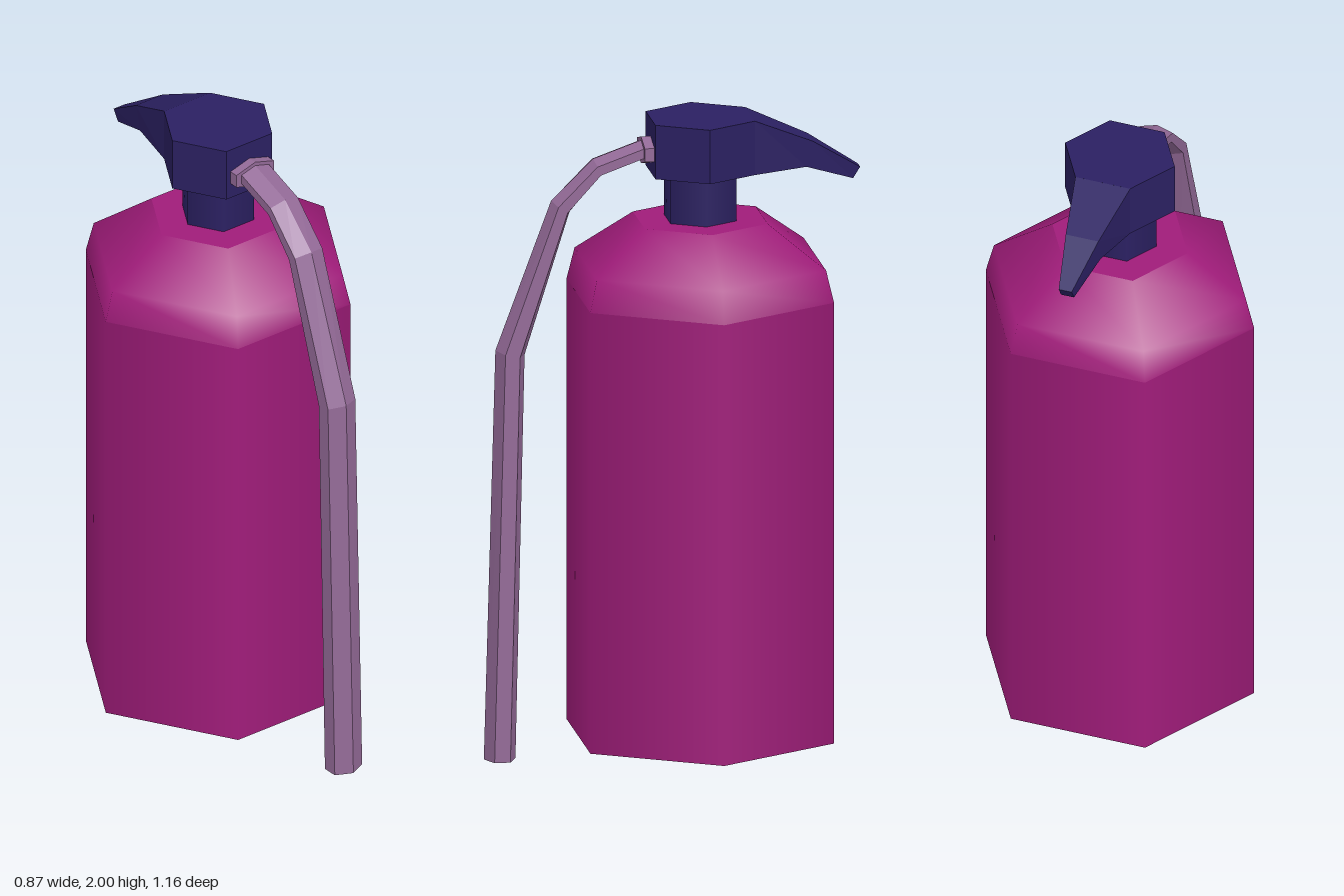
import * as THREE from 'three';

const AXIS_Z = -0.09; // the bottle's upright axis

const red = new THREE.MeshStandardMaterial({ color: 0xa01c7a });
const navy = new THREE.MeshStandardMaterial({ color: 0x2b2062 });
const navyFlat = new THREE.MeshStandardMaterial({ color: 0x2b2062, flatShading: true });
const mauve = new THREE.MeshStandardMaterial({ color: 0x936a97, flatShading: true });

function add(group, name, geometry, material) {
  const mesh = new THREE.Mesh(geometry, material);
  mesh.name = name;
  group.add(mesh);
  return mesh;
}

// Hexagonal prism with corners on the x axis
function hexPrism(radius, bottom, top) {
  return new THREE.CylinderGeometry(radius, radius, top - bottom, 6, 1, false, Math.PI / 2)
    .translate(0, (bottom + top) / 2, AXIS_Z);
}

// Skin over equal-sized rings of points (counterclockwise about the direction of travel), both ends capped
function loft(rings) {
  const n = rings[0].length;
  const index = [];
  for (let j = 0; j < rings.length - 1; j++) {
    for (let i = 0; i < n; i++) {
      const a = j * n + i, b = j * n + (i + 1) % n;
      index.push(a, b, b + n, a, b + n, a + n);
    }
  }
  const last = (rings.length - 1) * n;
  for (let i = 1; i < n - 1; i++) {
    index.push(0, i + 1, i);
    index.push(last, last + i, last + i + 1);
  }
  const geometry = new THREE.BufferGeometry().setFromPoints(rings.flat());
  geometry.setIndex(index);
  geometry.computeVertexNormals();
  return geometry;
}

export function createModel() {
  const model = new THREE.Group();
  model.name = 'fireExtinguisher';

  // Bottle: straight wall, rounded-off shoulder and flat top
  add(model, 'tank', hexPrism(0.436, 0.06, 1.45), red);
  const shoulder = [[0.436, 1.45], [0.41, 1.55], [0.22, 1.68]].map(([r, y]) => new THREE.Vector2(r, y));
  add(model, 'shoulder',
    new THREE.LatheGeometry(shoulder, 6, Math.PI / 2).translate(0, 0, AXIS_Z), red);
  add(model, 'tankTop',
    new THREE.CircleGeometry(0.22, 6).rotateX(-Math.PI / 2).translate(0, 1.68, AXIS_Z), red);

  // Valve
  add(model, 'neck', hexPrism(0.118, 1.67, 1.84), navy);
  add(model, 'valveHead', hexPrism(0.178, 1.83, 2), navyFlat);

  // Tapering lever: half width, bottom y and z, top y and z
  const lever = [
    [0.089, 1.83, -0.244, 2, -0.244],
    [0.053, 1.84, -0.41, 1.92, -0.43],
    [0.021, 1.79, -0.56, 1.825, -0.582],
  ].map(([w, yb, zb, yt, zt]) => [
    new THREE.Vector3(w, yb, zb), new THREE.Vector3(-w, yb, zb),
    new THREE.Vector3(-w, yt, zt), new THREE.Vector3(w, yt, zt),
  ]);
  add(model, 'lever', loft(lever), navyFlat);

  // Hose: y, z, half thickness and tilt of the cross-section (0 = level, PI / 2 = facing back)
  const hose = [
    [0, 0.532, 0.049, 0],
    [1.28, 0.5, 0.046, 0.18],
    [1.735, 0.344, 0.034, 0.58],
    [1.853, 0.232, 0.029, 1.2],
    [1.907, 0.08, 0.03, Math.PI / 2],
  ].map(([y, z, half, tilt]) => Array.from({ length: 6 }, (_, i) => {
    const a = Math.PI / 2 + i * Math.PI / 3;
    const out = half * Math.sin(a);
    return new THREE.Vector3(
      -0.053 * Math.cos(a) / Math.cos(Math.PI / 6),
      y + out * Math.sin(tilt),
      z + out * Math.cos(tilt));
  }));
  add(model, 'hose', loft(hose), mauve);

  // Collar joining the hose to the valve
  const collar = new THREE.CylinderGeometry(1, 1, 0.04, 6).rotateX(Math.PI / 2);
  collar.scale(0.073 / Math.cos(Math.PI / 6), 0.042, 1).translate(0, 1.902, 0.074);
  add(model, 'hoseCollar', collar, mauve);

  return model;
}
